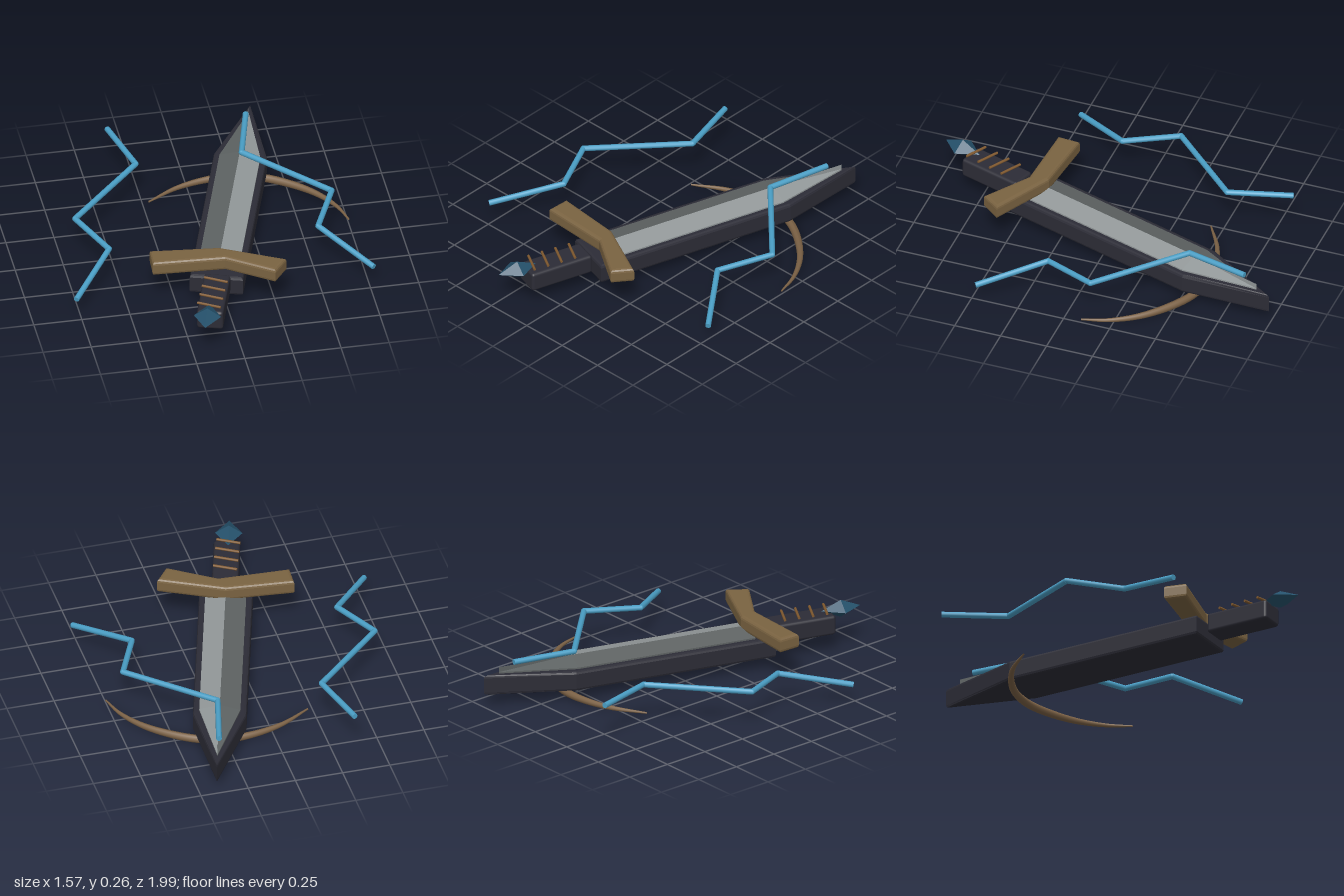
import * as THREE from 'three';
import { RoundedBoxGeometry } from 'three/addons/geometries/RoundedBoxGeometry.js';

const material = (name, color, extra = {}) => {
  const m = new THREE.MeshStandardMaterial({ color, ...extra });
  m.name = name;
  return m;
};

const add = (parent, name, geometry, mat) => {
  const mesh = new THREE.Mesh(geometry, mat);
  mesh.name = name;
  parent.add(mesh);
  return mesh;
};

// Bevelled slab from an [x, z] outline, lying between two heights
function slab(points, y0, y1, bevel, segments) {
  const shape = new THREE.Shape(points.map(([x, z]) => new THREE.Vector2(x, -z)));
  const g = new THREE.ExtrudeGeometry(shape, {
    depth: y1 - y0 - 2 * bevel, bevelEnabled: true, bevelSize: bevel,
    bevelThickness: bevel, bevelOffset: -bevel, bevelSegments: segments,
  });
  return g.rotateX(-Math.PI / 2).translate(0, y0 + bevel, 0);
}

// One sloping half of the steel ridge; side is +1 or -1
function steelHalf(side) {
  const rows = [[0.1, 0.105], [1.08, 0.105], [1.477, 0]].map(([along, w]) => [
    [0, 0.208, -along], [side * w, 0.18, -along], [side * w, 0.16, -along], [0, 0.16, -along],
  ]);
  const pos = [];
  const quad = (a, b, c, d) => {
    const order = side > 0 ? [a, b, c, a, c, d] : [a, c, b, a, d, c];
    order.forEach((p) => pos.push(...p));
  };
  for (let i = 0; i < 2; i++) {
    for (let j = 0; j < 2; j++) quad(rows[i][j], rows[i][j + 1], rows[i + 1][j + 1], rows[i + 1][j]);
  }
  quad(rows[0][0], rows[0][3], rows[0][2], rows[0][1]);
  const g = new THREE.BufferGeometry();
  g.setAttribute('position', new THREE.Float32BufferAttribute(pos, 3));
  g.computeVertexNormals();
  return g;
}

// Straight rod between two points
function rod(a, b, radius, sides) {
  const dir = b.clone().sub(a);
  const g = new THREE.CylinderGeometry(radius, radius, dir.length(), sides);
  g.applyQuaternion(new THREE.Quaternion().setFromUnitVectors(new THREE.Vector3(0, 1, 0), dir.normalize()));
  const mid = a.clone().add(b).multiplyScalar(0.5);
  return g.translate(mid.x, mid.y, mid.z);
}

// Tube that thins towards both ends
function taperedTube(curve, radius, segments, sides) {
  const g = new THREE.TubeGeometry(curve, segments, radius, sides);
  const p = g.attributes.position, v = new THREE.Vector3();
  for (let i = 0; i < p.count; i++) {
    const t = Math.floor(i / (sides + 1)) / segments;
    const k = 0.22 + 0.78 * Math.sin(Math.PI * t);
    const c = curve.getPointAt(t);
    v.fromBufferAttribute(p, i).sub(c).multiplyScalar(k).add(c);
    p.setXYZ(i, v.x, v.y, v.z);
  }
  g.computeVertexNormals();
  return g;
}

export function createModel() {
  const model = new THREE.Group();
  model.name = 'lightningSword';
  const dark = material('dark iron', 0x2c2c36);
  const steelDark = material('dark steel', 0x5e6363);
  const steelLight = material('light steel', 0x929899);
  const bronze = material('bronze', 0x7a6341);
  const wood = material('brown crescent', 0x7b6145, { side: THREE.DoubleSide });
  const cord = material('wrap cord', 0x80592f);
  const gem = material('deep blue gem', 0x25516b);
  const spark = material('lightning blue', 0x4a9fc6);

  // Sword, laid diagonally with its point towards the back
  const sword = new THREE.Group();
  sword.name = 'sword';
  sword.position.set(-0.05, 0, 0.495);
  sword.rotation.y = -0.302;
  model.add(sword);

  add(sword, 'bladeBody', slab([
    [-0.137, 0], [0.137, 0], [0.137, -1.105], [0, -1.56], [-0.137, -1.105],
  ], 0.065, 0.172, 0.014, 2), dark);
  add(sword, 'bladeFaceLeft', steelHalf(1), steelLight);
  add(sword, 'bladeFaceRight', steelHalf(-1), steelDark);

  const grip = add(sword, 'grip', new RoundedBoxGeometry(0.135, 0.105, 0.35, 2, 0.015), dark);
  grip.position.set(0.007, 0.152, 0.19);

  const pommel = add(sword, 'pommelGem', new THREE.OctahedronGeometry(1).scale(0.07, 0.047, 0.108), gem);
  pommel.position.set(0, 0.214, 0.414);

  // Diagonal cords over the grip
  for (let i = 0; i < 4; i++) {
    const dx = -0.026 * i, dz = 0.072 * i;
    add(model, 'gripCord', rod(
      new THREE.Vector3(-0.125 + dx, 0.224, 0.56 + dz),
      new THREE.Vector3(-0.017 + dx, 0.224, 0.625 + dz), 0.007, 8), cord);
  }

  // Bent crossguard
  add(model, 'crossguard', slab([
    [-0.365, 0.325], [-0.01, 0.362], [0.308, 0.528], [0.233, 0.625], [0, 0.465], [-0.372, 0.445],
  ], 0.185, 0.265, 0.018, 3), bronze);

  // Crescent beneath the blade
  const arc = new THREE.CatmullRomCurve3([
    [-0.22, -0.443], [-0.05, -0.54], [0.135, -0.585], [0.27, -0.582], [0.41, -0.535],
    [0.605, -0.385], [0.71, -0.23], [0.752, -0.095],
  ].map(([x, z]) => new THREE.Vector3(x, 0.024, z)));
  add(model, 'crescent', taperedTube(arc, 0.021, 40, 10), wood);

  // Mirrored pair of lightning bolts
  for (const side of [1, -1]) {
    const bolt = new THREE.Group();
    bolt.name = side > 0 ? 'leftBolt' : 'rightBolt';
    model.add(bolt);
    const pts = [
      [0.36, 0.225, -0.84], [0.275, 0.22, -0.51], [0.667, 0.2, -0.115], [0.543, 0.183, 0.16], [0.773, 0.11, 0.47],
    ].map(([x, y, z]) => new THREE.Vector3(side * x, y, z));
    for (let i = 0; i < 4; i++) {
      add(bolt, 'boltSegment', rod(pts[i], pts[i + 1], 0.015, 10), spark);
      if (i > 0) add(bolt, 'boltJoint', new THREE.SphereGeometry(0.015, 10, 8), spark).position.copy(pts[i]);
    }
  }
  return model;
}
